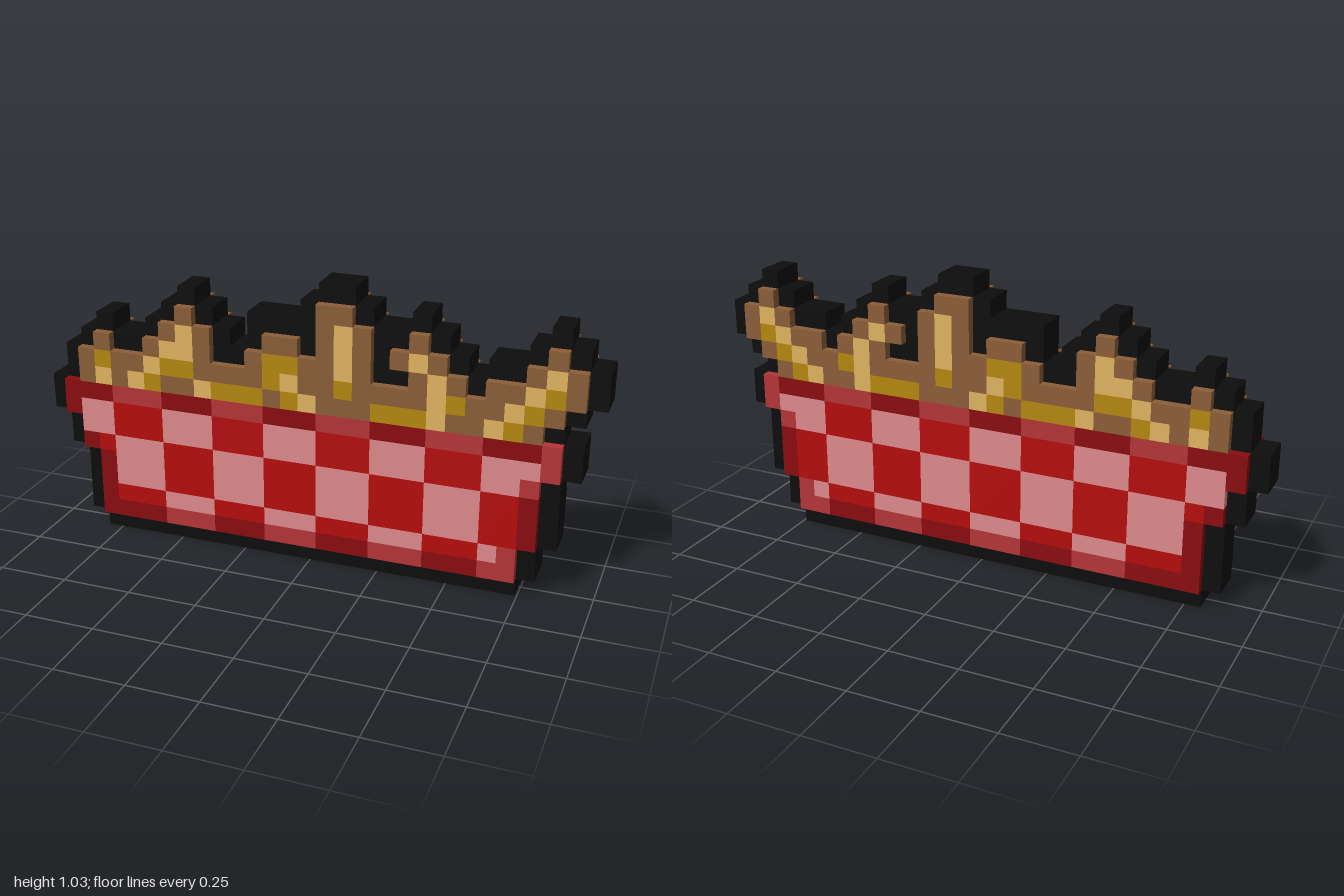
import * as THREE from 'three';

// Pixel map, one letter per cell, top row first
const ROWS = [
  '................KK.............',
  '........K......KBBK..K......K..',
  '.......KBK..KKKKBYBKKBK....KBK.',
  '...K..KBYBK.KBBKBYBKBYBK.KKBYBK',
  '..KBKKBYYBKKBGGBBYBKKBYBKBBYGBK',
  '.KBGBBYGGBBBBGYBBGBBBBYGBBYGBK.',
  '.KBYBYGBBYGGGBGYBBBGGGYBBYGBK..',
  'KDDDMMMDDDMMMDDDMMMDDDMMMDDDMK.',
  'KDPPRRRPPPRRRPPPRRRPPPRRRPPPMK.',
  '.KPPRRRPPPRRRPPPRRRPPPRRRPPMK..',
  '.KDRPPPRRRPPPRRRPPPRRRPPPRRDK..',
  '..KDPPPRRRPPPRRRPPPRRRPPPRRDK..',
  '..KDPPPRRRPPPRRRPPPRRRPPPRRDK..',
  '..KDRRRPPPRRRPPPRRRPPPRRRPMK...',
  '..KDDDDMMMDDDMMMDDDMMMDDDMMK...',
  '...KKKKKKKKKKKKKKKKKKKKKKKK....',
];

// Part name, colour and depth in cells for each letter
const PARTS = {
  K: ['outline', 0x0d0d0d, 2],
  B: ['fillingEdge', 0x8b5e38, 3],
  Y: ['fillingHighlight', 0xdfb360, 3],
  G: ['fillingShade', 0xb5870f, 3],
  D: ['basketRimDark', 0x8a0c10, 3],
  M: ['basketRimLight', 0xb53538, 3],
  R: ['redCheck', 0xb50d0d, 3],
  P: ['pinkCheck', 0xdd8a8c, 3],
};

export function createModel() {
  const model = new THREE.Group();
  model.name = 'pixelBasket';
  const cols = ROWS[0].length;
  const cell = 2 / cols;

  // One group per colour
  const groups = {};
  for (const [key, [name, color, depth]] of Object.entries(PARTS)) {
    const group = new THREE.Group();
    group.name = name;
    group.userData.depth = depth * cell;
    groups[key] = { group, material: new THREE.MeshStandardMaterial({ color }) };
    model.add(group);
  }

  // Merge equal neighbours of a row, then equal runs below, into one block
  const used = ROWS.map(() => new Array(cols).fill(false));
  ROWS.forEach((row, r) => {
    for (let c = 0; c < cols; c++) {
      const key = row[c];
      if (key === '.' || used[r][c]) continue;
      let w = 1;
      while (c + w < cols && row[c + w] === key && !used[r][c + w]) w++;
      const run = key.repeat(w);
      let h = 1;
      while (r + h < ROWS.length && ROWS[r + h].slice(c, c + w) === run) h++;
      for (let j = r; j < r + h; j++) used[j].fill(true, c, c + w);

      const { group, material } = groups[key];
      const block = new THREE.Mesh(
        new THREE.BoxGeometry(w * cell, h * cell, group.userData.depth), material);
      block.name = group.name + 'Block';
      block.position.set((c + w / 2) * cell - 1, (ROWS.length - r - h / 2) * cell, 0);
      group.add(block);
    }
  });
  return model;
}
